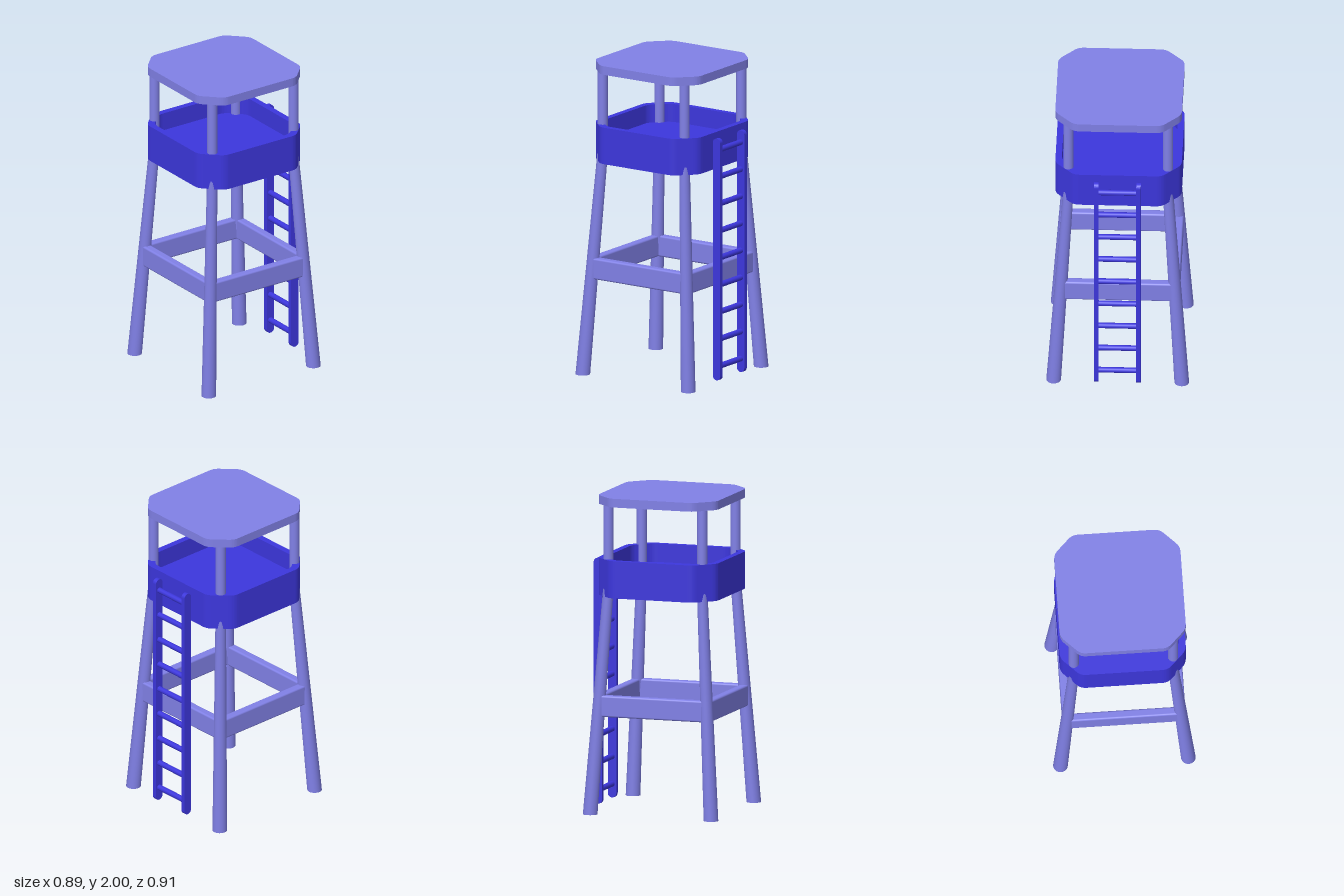
import * as THREE from 'three';
import { RoundedBoxGeometry } from 'three/addons/geometries/RoundedBoxGeometry.js';

const wood = new THREE.MeshStandardMaterial({ color: 0x8080e6 });
const blue = new THREE.MeshStandardMaterial({ color: 0x3c36dc });

function add(parent, name, geometry, material, x = 0, y = 0, z = 0) {
  const mesh = new THREE.Mesh(geometry, material);
  mesh.name = name;
  mesh.position.set(x, y, z);
  parent.add(mesh);
  return mesh;
}

// Square with cut corners, the cuts softened by small curves
function outline(half, cut, PathType = THREE.Shape) {
  const path = new PathType();
  const c = half - cut, t = 0.035, d = t * Math.SQRT1_2;
  for (let i = 0; i < 4; i++) {
    const a = i * Math.PI / 2;
    const p = (x, y) => [
      x * Math.round(Math.cos(a)) - y * Math.round(Math.sin(a)),
      x * Math.round(Math.sin(a)) + y * Math.round(Math.cos(a)),
    ];
    if (i === 0) path.moveTo(...p(half, c - t));
    else path.lineTo(...p(half, c - t));
    path.quadraticCurveTo(...p(half, c), ...p(half - d, c + d));
    path.lineTo(...p(c + d, half - d));
    path.quadraticCurveTo(...p(c, half), ...p(c - t, half));
  }
  path.closePath();
  return path;
}

// Horizontal slab from y = 0 up to the given height
function slab(shape, height) {
  const g = new THREE.ExtrudeGeometry(shape, { depth: height, bevelEnabled: false, curveSegments: 6 });
  return g.rotateX(-Math.PI / 2);
}

// Tapered leg leaning inwards, with its foot cut level with the ground
function legGeometry(sx, sz) {
  const h = 1.42, foot = 0.4, top = 0.311;
  const g = new THREE.CylinderGeometry(0.033, 0.046, h, 24).translate(0, h / 2, 0);
  const pos = g.attributes.position;
  for (let i = 0; i < pos.count; i++) {
    const offset = THREE.MathUtils.lerp(foot, top, pos.getY(i) / h);
    pos.setX(i, pos.getX(i) + sx * offset);
    pos.setZ(i, pos.getZ(i) + sz * offset);
  }
  return g;
}

// Flat ladder rail with round ends
function railGeometry(width, thickness, bottom, top) {
  const r = width / 2;
  const s = new THREE.Shape();
  s.absarc(0, top - r, r, 0, Math.PI, false);
  s.absarc(0, bottom + r, r, Math.PI, Math.PI * 2, false);
  s.closePath();
  const g = new THREE.ExtrudeGeometry(s, { depth: thickness, bevelEnabled: false, curveSegments: 12 });
  return g.translate(0, 0, -thickness / 2).rotateY(Math.PI / 2);
}

export function createModel() {
  const model = new THREE.Group();
  model.name = 'lookoutTower';

  const tower = new THREE.Group();
  tower.name = 'tower';
  tower.position.z = 0.009;
  model.add(tower);

  // Legs and the upright posts above them
  for (const sx of [-1, 1]) {
    for (const sz of [-1, 1]) {
      add(tower, 'leg', legGeometry(sx, sz), wood);
      add(tower, 'roofPost', new THREE.CylinderGeometry(0.032, 0.032, 0.56, 24), wood, sx * 0.311, 1.68, sz * 0.311);
    }
  }

  // Ring of four cross beams
  for (let i = 0; i < 4; i++) {
    const a = i * Math.PI / 2;
    const beam = add(tower, 'crossBeam', new RoundedBoxGeometry(0.74, 0.135, 0.055, 3, 0.012), wood,
      Math.sin(a) * 0.358, 0.682, Math.cos(a) * 0.358);
    beam.rotation.y = a;
  }

  // Lookout deck: floor and surrounding wall
  const wall = outline(0.395, 0.122);
  wall.holes.push(outline(0.355, 0.106, THREE.Path));
  add(tower, 'deckWall', slab(wall, 0.235), blue, 0, 1.37, 0);
  add(tower, 'deckFloor', slab(outline(0.365, 0.11), 0.119), blue, 0, 1.371, 0);

  // Roof
  add(tower, 'roof', slab(outline(0.395, 0.122), 0.055), wood, 0, 1.945, 0);

  // Ladder at the back
  const ladder = new THREE.Group();
  ladder.name = 'ladder';
  ladder.position.z = -0.43;
  model.add(ladder);
  for (const sx of [-1, 1]) {
    add(ladder, 'ladderRail', railGeometry(0.056, 0.028, 0.025, 1.58), blue, sx * 0.132, 0, 0);
  }
  for (let i = 0; i < 9; i++) {
    const rung = new THREE.CylinderGeometry(0.018, 0.018, 0.25, 16).rotateZ(Math.PI / 2);
    add(ladder, 'ladderRung', rung, blue, 0, 0.112 + i * 0.174, 0);
  }

  return model;
}
